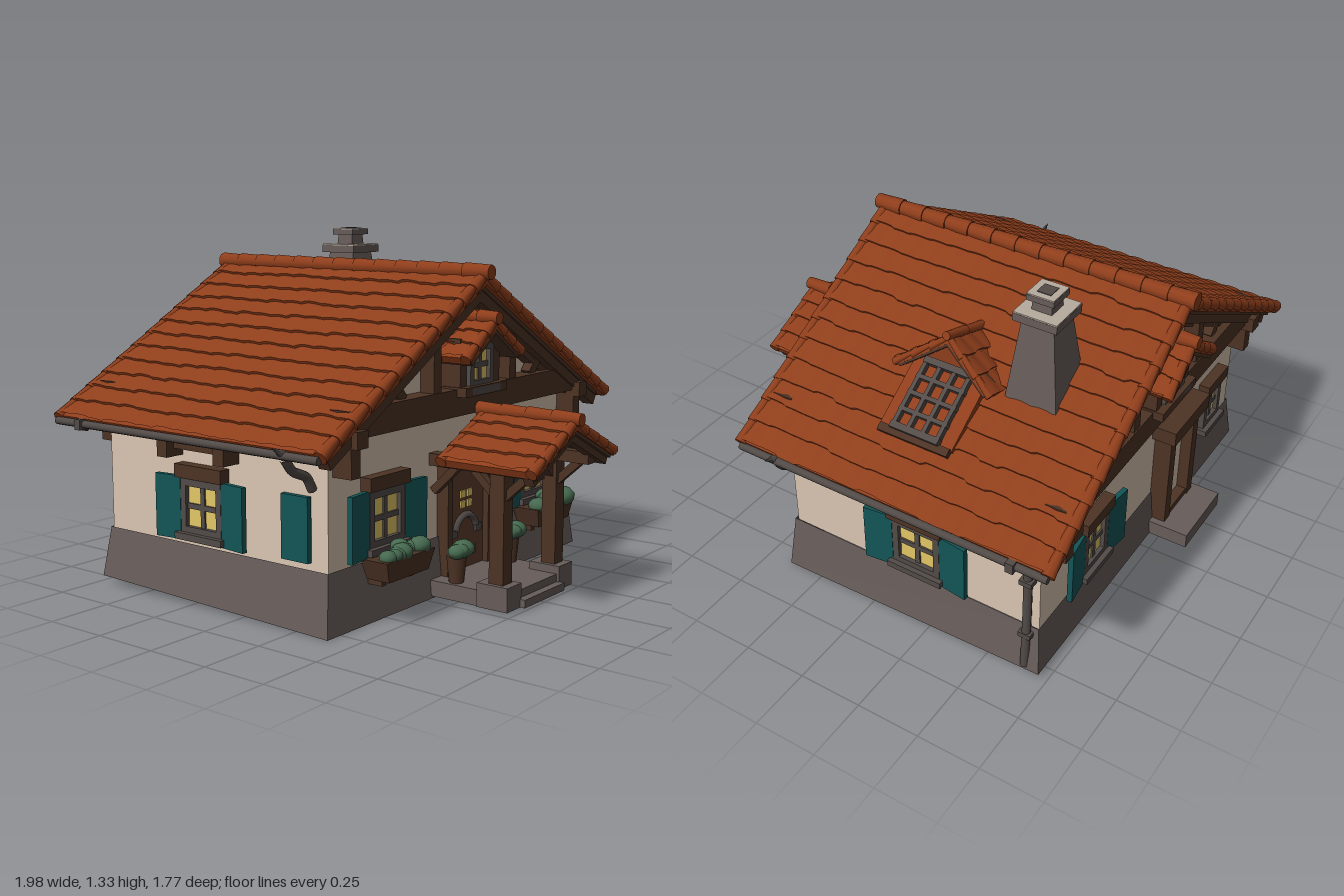
import * as THREE from 'three';
import { toCreasedNormals } from 'three/addons/utils/BufferGeometryUtils.js';

const mat = (name, color, double) => {
  const m = new THREE.MeshStandardMaterial({ color });
  m.name = name;
  if (double) m.side = THREE.DoubleSide;
  return m;
};
const plaster = mat('plaster', 0xdac6b2), tile = mat('roofTile', 0x8f3e1b, true), timber = mat('timber', 0x4d3325),
  doorWood = mat('doorWood', 0x5e3d2b), stone = mat('stone', 0x675c59, true), capStone = mat('capStone', 0xb8ac9f),
  metal = mat('darkMetal', 0x524b48), teal = mat('shutterTeal', 0x135557), pane = mat('paneYellow', 0xe3c766),
  leaf = mat('leaf', 0x466a50);

const add = (parent, name, geo, m, x = 0, y = 0, z = 0) => {
  const o = new THREE.Mesh(geo, m);
  o.name = name;
  o.position.set(x, y, z);
  parent.add(o);
  return o;
};
const box = (p, name, m, w, h, d, x, y, z) => add(p, name, new THREE.BoxGeometry(w, h, d), m, x, y, z);
const sub = (p, name, x = 0, y = 0, z = 0, ry = 0) => {
  const g = new THREE.Group();
  g.name = name;
  g.position.set(x, y, z);
  g.rotation.y = ry;
  p.add(g);
  return g;
};
// Square beam between two points
const beam = (p, name, m, a, b, w, d = w) => {
  const A = new THREE.Vector3(...a), B = new THREE.Vector3(...b), dir = B.clone().sub(A);
  const o = box(p, name, m, w, dir.length(), d, 0, 0, 0);
  o.position.copy(A).add(B).multiplyScalar(0.5);
  o.quaternion.setFromUnitVectors(new THREE.Vector3(0, 1, 0), dir.normalize());
  return o;
};
const noise = (a, b) => { const s = Math.sin(a * 12.99 + b * 78.23) * 43758.55; return s - Math.floor(s) - 0.5; };

// Stepped courses of gently rounded tiles, running down +x
function tileSheet(len, depth, rows, cols) {
  const n = cols * 4, g = new THREE.PlaneGeometry(1, 1, rows * 2 - 1, n), pos = g.attributes.position;
  for (let i = 0; i < pos.count; i++) {
    const ix = i % (rows * 2), iz = Math.floor(i / (rows * 2)), odd = ix % 2, r = (ix - odd) / 2 + odd;
    const s = (r / rows) * len + (r ? noise(r, Math.floor(iz / 4)) * 0.012 : 0);
    pos.setXYZ(i, s, Math.abs(Math.sin(iz * Math.PI / 4)) * 0.005 + odd * 0.01, (iz / n - 0.5) * depth);
  }
  return toCreasedNormals(g, 0.7);
}

// Gable roof: ridge at the origin running along z
function gableRoof(p, name, run, rise, depth, rows, cols, t = 0.03) {
  const g = sub(p, name), len = Math.hypot(run, rise), step = len / rows;
  for (const turn of [0, Math.PI]) {
    const s = sub(sub(g, 'roofHalf', 0, 0, 0, turn), 'roofSlope');
    s.rotation.z = -Math.atan2(rise, run);
    add(s, 'tiles', tileSheet(len, depth, rows, cols), tile);
    box(s, 'tileBed', tile, len, t, depth, len / 2, -t / 2, 0);
    box(s, 'roofBoards', timber, len * 0.96, t * 0.5, depth * 0.97, len * 0.48, -t * 1.2, 0);
    for (const e of [-1, 1]) for (let i = 0; i < rows; i++) {
      const v = add(s, 'vergeTile', new THREE.CylinderGeometry(t * 0.5, t * 0.75, step * 1.1, 8), tile,
        (i + 0.5) * step, -t * 0.2, e * (depth / 2 - t * 0.4));
      v.rotation.z = Math.PI / 2 - 0.05;
    }
  }
  const k = Math.max(2, Math.round(depth / 0.1));
  for (let i = 0; i < k; i++) {
    const c = add(g, 'ridgeTile', new THREE.CylinderGeometry(t * 0.8, t * 0.95, depth / k * 1.15, 10), tile,
      0, 0.006, ((i + 0.5) / k - 0.5) * (depth + 0.03));
    c.rotation.x = Math.PI / 2;
  }
  return g;
}

// Four-paned window facing +z, centred on its glass
function makeWindow(p, x, y, z, ry, { w = 0.2, h = 0.2, shutters = true, lintel = true, planter = 0 } = {}) {
  const g = sub(p, 'window', x, y, z, ry), f = 0.025;
  box(g, 'panes', pane, w - f, h - f, 0.05, 0, 0, -0.012);
  for (const s of [-1, 1]) {
    box(g, 'frameSide', metal, f, h, 0.08, s * (w - f) / 2, 0, -0.01);
    box(g, 'frameRail', metal, w, f, 0.08, 0, s * (h - f) / 2, -0.01);
    if (shutters) {
      const sh = sub(g, 'shutterHinge', s * w * 0.5, 0, 0.02, -s * 0.12);
      box(sh, 'shutter', teal, 0.115, h + 0.035, 0.02, s * 0.06, -0.01, 0);
    }
  }
  box(g, 'mullion', metal, 0.02, h, 0.064, 0, 0, -0.012);
  box(g, 'transom', metal, w, 0.02, 0.064, 0, 0, -0.012);
  box(g, 'sill', metal, w + 0.03, 0.025, 0.06, 0, -h / 2 - 0.01, 0.02);
  if (lintel) box(g, 'lintel', timber, w + 0.03, 0.05, 0.06, 0, h / 2 + 0.03, 0.015);
  if (planter) {
    // Tapered trough with plants
    const tub = add(g, 'planter', new THREE.CylinderGeometry(0.14 * Math.SQRT2, 0.115 * Math.SQRT2, 0.075, 4)
      .rotateY(Math.PI / 4).toNonIndexed(), timber, 0, -0.162, 0.075);
    tub.geometry.computeVertexNormals();
    tub.scale.z = 0.42;
    for (const s of [-0.08, 0.08]) box(g, 'planterBracket', timber, 0.025, 0.03, 0.07, s, -0.21, 0.04);
    foliage(g, 0.095, 0.03 * planter, 8, 0, -0.112, 0.065 + 0.02 * planter);
  }
  return g;
}

function foliage(p, spread, r, n, x, y, z) {
  for (let i = 0; i < n; i++) {
    const m = add(p, 'foliage', new THREE.IcosahedronGeometry(r * (1.1 + noise(i, 3) * 0.5), 1), leaf,
      x + (i / (n - 1) - 0.5) * 2 * spread, y + noise(i, 1) * 0.02, z + noise(i, 2) * 0.05);
    m.scale.y = 0.8;
  }
}

// Timbered gable end; local z = 0 is the wall face
function gableEnd(p, z, ry) {
  const g = sub(p, 'gableTimbers', 0, 0, z, ry);
  box(g, 'tieBeam', timber, 1.52, 0.1, 0.08, 0, 0.735, 0.035);
  for (const s of [-1, 1]) {
    beam(g, 'bargeBoard', timber, [0, 1.13, 0.06], [s * 0.88, 0.633, 0.06], 0.06, 0.05);
    beam(g, 'wallRafter', timber, [0, 1.1, 0.02], [s * 0.78, 0.66, 0.02], 0.06, 0.05);
    box(g, 'gablePost', timber, 0.045, 0.22, 0.06, s * 0.25, 0.88, 0.04);
    beam(g, 'gableStrut', timber, [s * 0.42, 0.78, 0.03], [s * 0.5, 0.87, 0.03], 0.04);
    box(g, 'cornerCorbel', timber, 0.05, 0.13, 0.08, s * 0.73, 0.62, 0.04);
    box(g, 'purlinEnd', timber, 0.06, 0.06, 0.1, s * 0.73, 0.69, 0.06);
    box(g, 'bayPost', timber, 0.04, 0.2, 0.09, s * 0.11, 0.87, 0.04);
  }
  box(g, 'bayPanel', timber, 0.2, 0.2, 0.05, 0, 0.87, 0.03);
  box(g, 'baySill', timber, 0.27, 0.035, 0.12, 0, 0.775, 0.055);
  makeWindow(g, 0, 0.865, 0.065, 0, { w: 0.155, h: 0.16, shutters: false, lintel: false });
  gableRoof(g, 'bayRoof', 0.185, 0.125, 0.15, 3, 3, 0.03).position.set(0, 1.035, 0.08);
}

export function createModel() {
  const root = new THREE.Group();
  root.name = 'cottage';

  // Hollow stone base, its foot rising slightly toward the back, and plaster walls
  const baseGeo = new THREE.CylinderGeometry(0.79 * Math.SQRT2, 0.82 * Math.SQRT2, 0.22, 4, 1, true)
    .rotateY(Math.PI / 4).toNonIndexed();
  const bp = baseGeo.attributes.position;
  for (let i = 0; i < bp.count; i++) if (bp.getY(i) < 0 && bp.getZ(i) < 0) bp.setY(i, -0.08);
  baseGeo.computeVertexNormals();
  add(root, 'stoneBase', baseGeo, stone, 0, 0.12, -0.163).scale.z = 0.56 / 0.82;
  const gable = new THREE.Shape([[-0.78, 0.22], [0.78, 0.22], [0.78, 0.69], [0, 1.13], [-0.78, 0.69]]
    .map(a => new THREE.Vector2(...a)));
  for (const z of [0.34, -0.7]) add(root, 'gableWall', new THREE.ExtrudeGeometry(gable, { depth: 0.03, bevelEnabled: false }), plaster, 0, 0, z);
  for (const s of [-1, 1]) box(root, 'sideWall', plaster, 0.03, 0.47, 1.06, s * 0.765, 0.455, -0.165);
  gableEnd(root, 0.37, 0);
  gableEnd(root, -0.7, Math.PI);
  gableRoof(root, 'mainRoof', 0.935, 0.53, 1.305, 12, 15, 0.035).position.set(0, 1.2, -0.172);

  // Windows
  for (const s of [-1, 1]) {
    makeWindow(root, s * 0.49, 0.375, 0.37, 0, { planter: s > 0 ? 1.4 : 1.1 });
    const w = makeWindow(root, s * 0.78, 0.375, -0.2, s * Math.PI / 2);
    box(w, 'wallPlate', timber, 0.33, 0.03, 0.05, 0, 0.225, 0.02);
    for (const e of [-1, 1]) box(w, 'wallCorbel', timber, 0.05, 0.06, 0.09, e * 0.14, 0.21, 0.035);
  }
  box(root, 'spareShutter', teal, 0.02, 0.23, 0.12, -0.795, 0.37, 0.24);
  makeWindow(root, 0.43, 0.375, -0.7, Math.PI, { w: 0.17 });
  makeWindow(root, -0.56, 0.36, -0.7, Math.PI, { w: 0.15, h: 0.17, shutters: false });

  // Front door
  const door = sub(root, 'frontDoor', 0, 0, 0.37);
  box(door, 'doorLeaf', doorWood, 0.25, 0.42, 0.05, 0, 0.29, 0);
  for (const s of [-1, 1]) {
    box(door, 'doorJamb', timber, 0.03, 0.44, 0.08, s * 0.135, 0.3, 0.01);
    for (const v of [0, 1]) box(door, 'doorPane', pane, 0.03, 0.028, 0.008, s * 0.022, 0.33 + v * 0.04, 0.027);
    box(door, 'doorStrap', metal, 0.04, 0.03, 0.01, s * 0.08, 0.225, 0.029);
  }
  box(door, 'doorLintel', timber, 0.32, 0.05, 0.08, 0, 0.52, 0.015);
  add(door, 'doorArch', new THREE.TorusGeometry(0.065, 0.018, 6, 14, Math.PI), metal, 0, 0.235, 0.022).scale.y = 0.8;
  box(door, 'doorPlate', metal, 0.12, 0.035, 0.01, 0, 0.145, 0.029);

  // Porch
  const porch = sub(root, 'porch');
  box(porch, 'porchFloor', stone, 0.44, 0.06, 0.34, 0, 0.05, 0.55);
  box(porch, 'porchStep', stone, 0.28, 0.03, 0.04, 0, 0.035, 0.73);
  gableRoof(porch, 'porchRoof', 0.29, 0.14, 0.4, 4, 5, 0.03).position.set(0, 0.695, 0.67);
  box(porch, 'porchTie', timber, 0.42, 0.04, 0.05, 0, 0.525, 0.67);
  for (const s of [-1, 1]) {
    const x = s * 0.18;
    box(porch, 'postFooting', stone, 0.095, 0.09, 0.13, x, 0.065, 0.665);
    box(porch, 'porchPost', timber, 0.06, 0.43, 0.06, x, 0.31, 0.67);
    box(porch, 'porchBeam', timber, 0.05, 0.045, 0.46, x, 0.53, 0.6);
    beam(porch, 'sideBrace', timber, [x, 0.41, 0.67], [x, 0.51, 0.56], 0.03);
    beam(porch, 'sideBrace', timber, [x, 0.41, 0.67], [x, 0.51, 0.78], 0.03);
    beam(porch, 'wallBrace', timber, [x, 0.41, 0.38], [x, 0.51, 0.48], 0.03);
    beam(porch, 'frontBrace', timber, [x, 0.44, 0.67], [s * 0.09, 0.52, 0.67], 0.03);
    beam(porch, 'porchRafter', timber, [0, 0.64, 0.83], [s * 0.26, 0.515, 0.83], 0.04);
    add(porch, 'flowerPot', new THREE.CylinderGeometry(0.038, 0.028, 0.1, 10), timber, x, 0.13, 0.48);
    foliage(porch, 0.022, 0.035, 4, x, 0.205, 0.48);
  }

  // Back door
  const back = sub(root, 'backDoor', -0.2, 0, -0.7, Math.PI);
  box(back, 'backDoorLeaf', plaster, 0.16, 0.42, 0.03, 0, 0.31, 0.01);
  for (const s of [-1, 1]) box(back, 'backJamb', timber, 0.045, 0.43, 0.08, s * 0.1, 0.31, 0.03);
  box(back, 'backLintel', timber, 0.3, 0.06, 0.11, 0, 0.54, 0.04);
  box(back, 'backThreshold', timber, 0.2, 0.03, 0.07, 0, 0.11, 0.03);
  box(back, 'backStep', stone, 0.3, 0.06, 0.18, 0, 0.07, 0.09);

  // Chimney: stone sides with pale tops
  const ch = sub(root, 'chimney', 0.39, 0, -0.475);
  const stack = (name, m, rt, rb, h, y) => {
    const g = new THREE.CylinderGeometry(rt * Math.SQRT2, rb * Math.SQRT2, h, 4).rotateY(Math.PI / 4).toNonIndexed();
    g.computeVertexNormals();
    return add(ch, name, g, m, 0, y, 0);
  };
  stack('chimneyStack', stone, 0.062, 0.102, 0.32, 1.08);
  stack('chimneyCap', stone, 0.085, 0.085, 0.03, 1.253);
  stack('chimneyCapTop', capStone, 0.084, 0.084, 0.006, 1.27);
  stack('chimneyNeck', stone, 0.035, 0.04, 0.06, 1.295);
  stack('chimneyTop', stone, 0.053, 0.053, 0.022, 1.324);
  stack('chimneyRim', capStone, 0.052, 0.052, 0.005, 1.337);
  stack('flue', metal, 0.027, 0.027, 0.004, 1.34);

  // Roof dormer, its ridge falling back toward the main ridge, with a sloping barred skylight
  const dormer = sub(root, 'dormer', 0, 0, -0.155);
  const tilt = sub(dormer, 'dormerTilt', 0.405, 1.065, 0);
  tilt.rotation.z = 0.35;
  gableRoof(tilt, 'dormerRoof', 0.2, 0.15, 0.22, 3, 3, 0.02).rotation.y = Math.PI / 2;
  const front = new THREE.Shape([[-0.14, 0.85], [0.14, 0.85], [0.14, 0.97], [0, 1.08], [-0.14, 0.97]].map(a => new THREE.Vector2(...a)));
  add(dormer, 'dormerBody', new THREE.ExtrudeGeometry(front, { depth: 0.06, bevelEnabled: false }), tile, 0.42, 0, 0).rotation.y = Math.PI / 2;
  for (const s of [-1, 1]) beam(dormer, 'dormerRafter', timber, [0.495, 1.085, 0], [0.495, 0.955, s * 0.17], 0.022);
  const sky = sub(dormer, 'skylight', 0.61, 0.89, 0);
  sky.rotation.z = -0.58;
  box(sky, 'skylightBed', tile, 0.28, 0.05, 0.2, 0, -0.03, 0);
  for (const s of [-1, 1]) {
    box(sky, 'skylightCurb', tile, 0.28, 0.06, 0.05, 0, -0.035, s * 0.125);
    box(sky, 'skylightEnd', metal, 0.025, 0.04, 0.2, s * 0.13, 0.002, 0);
  }
  for (const v of [-0.09, -0.03, 0.03, 0.09]) box(sky, 'skylightBar', metal, 0.27, 0.03, 0.016, 0, 0.004, v);
  for (const v of [-0.065, 0, 0.065]) box(sky, 'skylightCrossbar', metal, 0.016, 0.026, 0.2, v, 0.006, 0);
  box(sky, 'skylightSill', timber, 0.03, 0.05, 0.29, 0.15, -0.02, 0);

  // Gutters, elbows and one downpipe
  const pipe = (name, s, z, pts) => add(root, name, new THREE.TubeGeometry(new THREE.CatmullRomCurve3(
    pts.map(([x, y]) => new THREE.Vector3(s * x, y, z)), false, 'catmullrom', 0.2), 20, 0.017, 8), metal);
  for (const s of [-1, 1]) {
    const gutter = add(root, 'gutter', new THREE.CylinderGeometry(0.015, 0.015, 1.28, 8), metal, s * 0.937, 0.65, -0.175);
    gutter.rotation.x = Math.PI / 2;
    pipe('gutterElbow', s, 0.31, [[0.93, 0.64], [0.89, 0.59], [0.82, 0.56], [0.79, 0.51]]);
    add(root, 'gutterSpike', new THREE.ConeGeometry(0.022, 0.08, 6), metal, s * 0.955, 0.665, 0.31).rotation.z = -s * 1.1;
    box(root, 'gutterBracket', metal, 0.03, 0.04, 0.03, s * 0.945, 0.65, -0.68);
  }
  pipe('downpipe', 1, -0.66, [[0.93, 0.64], [0.9, 0.6], [0.82, 0.55], [0.797, 0.48], [0.8, 0.25], [0.81, 0.05]]);
  for (const y of [0.2, 0.45]) box(root, 'pipeClip', metal, 0.05, 0.02, 0.05, 0.795, y, -0.66);
  return root;
}
